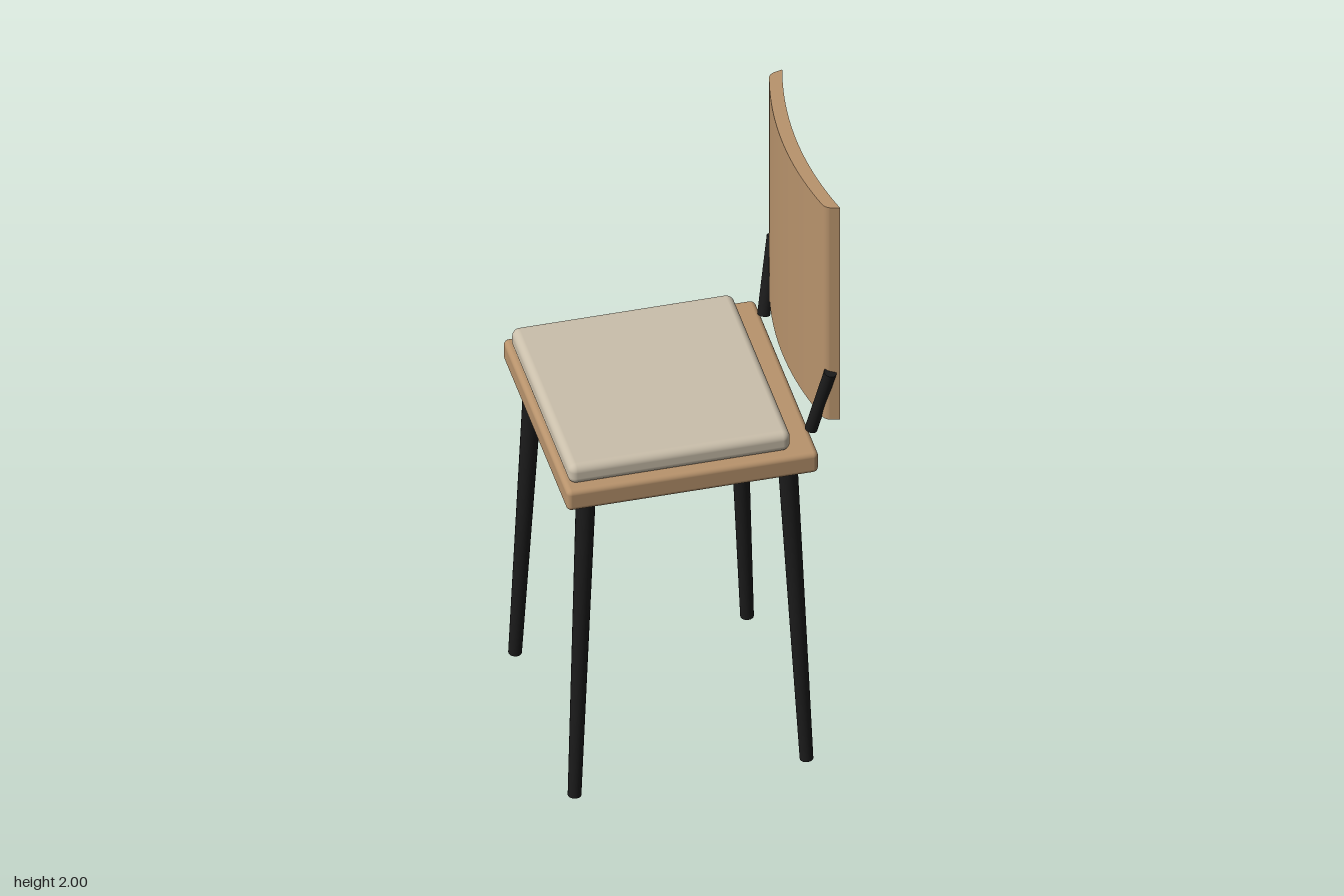
import * as THREE from 'three';
import { RoundedBoxGeometry } from 'three/addons/geometries/RoundedBoxGeometry.js';

const mat = (name, color) => {
  const m = new THREE.MeshStandardMaterial({ color });
  m.name = name;
  return m;
};

export function createModel() {
  const wood = mat('wood', 0xb8936c);
  const fabric = mat('cushion fabric', 0xcabfab);
  const black = mat('black metal', 0x1b1b1b);
  const group = new THREE.Group();
  group.name = 'chair';

  const add = (name, geometry, material) => {
    const mesh = new THREE.Mesh(geometry, material);
    mesh.name = name;
    group.add(mesh);
    return mesh;
  };

  // Tapered round bar between two points
  const bar = (name, from, to, rFrom, rTo) => {
    const a = new THREE.Vector3(...from), b = new THREE.Vector3(...to);
    const dir = b.clone().sub(a);
    const mesh = add(name, new THREE.CylinderGeometry(rTo, rFrom, dir.length(), 20), black);
    mesh.position.copy(a).add(b).multiplyScalar(0.5);
    mesh.quaternion.setFromUnitVectors(new THREE.Vector3(0, 1, 0), dir.normalize());
  };

  // Seat board and cushion
  add('seat', new RoundedBoxGeometry(0.755, 0.074, 0.756, 4, 0.016), wood)
    .position.set(-0.0375, 1.104, 0);
  add('cushion', new RoundedBoxGeometry(0.665, 0.068, 0.696, 5, 0.024), fabric)
    .position.set(-0.0675, 1.171, 0);

  // Splayed legs and the struts that carry the backrest
  for (const s of [-1, 1]) {
    bar('frontLeg', [-0.386, 0.001, s * 0.348], [-0.34, 1.08, s * 0.303], 0.02, 0.029);
    bar('rearLeg', [0.31, 0.001, s * 0.348], [0.264, 1.08, s * 0.303], 0.02, 0.029);
    bar('backStrut', [0.342, 1.157, s * 0.278], [0.385, 1.397, s * 0.334], 0.019, 0.019);
  }

  // Backrest: curved slab bowed towards the seat, drawn as (x, -z) and extruded upwards
  const outline = new THREE.Shape();
  outline.moveTo(0.413, -0.338);
  outline.quadraticCurveTo(0.327, 0, 0.413, 0.338);
  outline.lineTo(0.384, 0.33);
  outline.quadraticCurveTo(0.372, 0.325, 0.367, 0.312);
  outline.quadraticCurveTo(0.289, 0, 0.367, -0.312);
  outline.quadraticCurveTo(0.372, -0.325, 0.384, -0.33);
  outline.closePath();
  const back = new THREE.ExtrudeGeometry(outline, { depth: 0.78, bevelEnabled: false, curveSegments: 20 });
  back.rotateX(-Math.PI / 2);
  add('backrest', back, wood).position.y = 1.22;

  return group;
}
